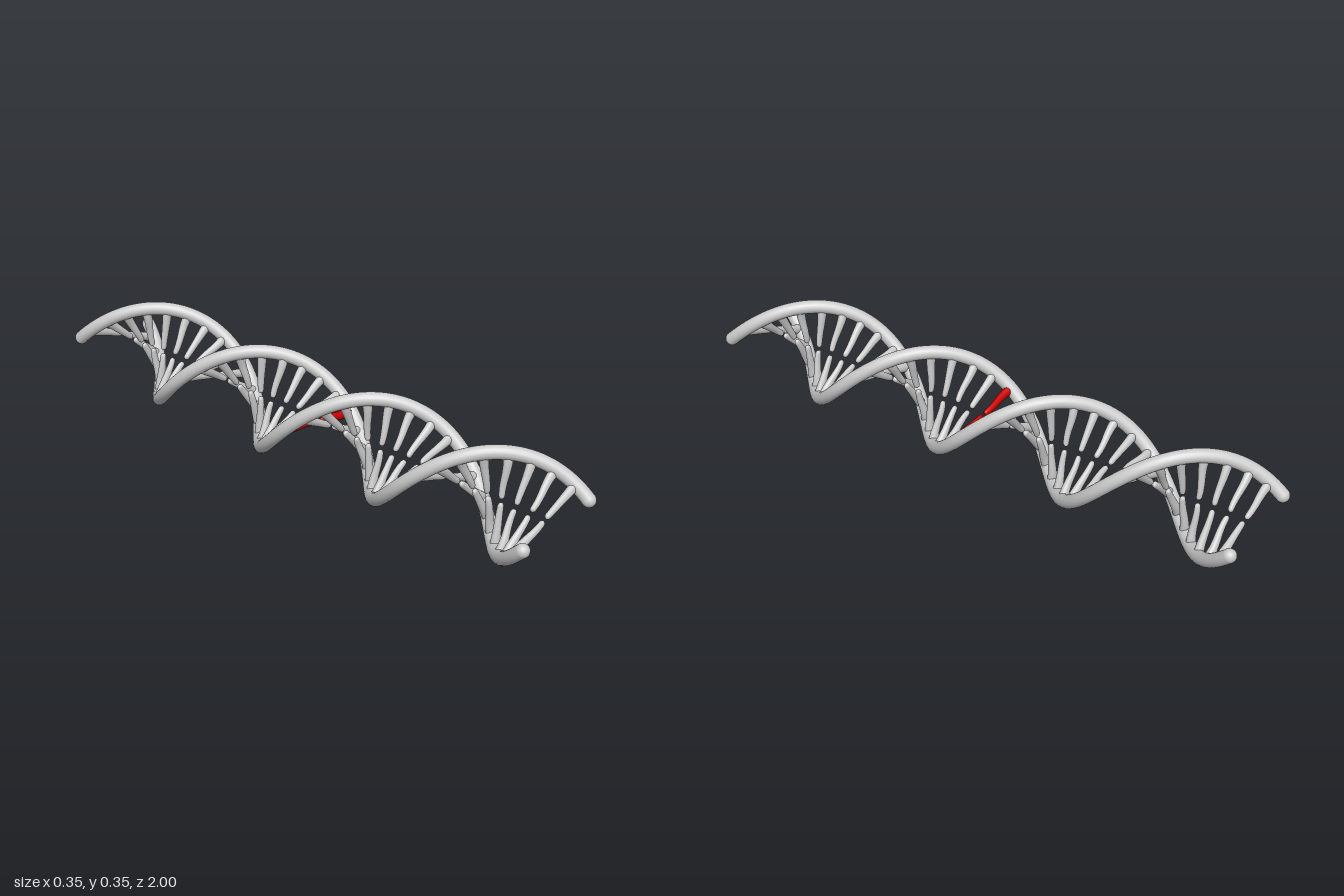
import * as THREE from 'three';

const CENTER_Y = 0.176, HELIX_R = 0.153, TUBE_R = 0.0225, END_Z = 0.9775;
const RUNGS = 36, FIRST_Z = 0.935, STEP = 0.0535, RED_RUNG = 17;

const grey = new THREE.MeshStandardMaterial({ color: 0xcccccc });
const red = new THREE.MeshStandardMaterial({ color: 0xcc0000 });

// Two full turns along z
const angleAt = (z) => (1 - z) * Math.PI * 2;

class Helix extends THREE.Curve {
  constructor(phase) {
    super();
    this.phase = phase;
  }
  getPoint(t, target = new THREE.Vector3()) {
    const z = END_Z * (1 - 2 * t), a = angleAt(z) + this.phase;
    return target.set(HELIX_R * Math.cos(a), HELIX_R * Math.sin(a), z);
  }
}

// Backbone tube with rounded ends
function makeStrand(phase, name) {
  const strand = new THREE.Group();
  strand.name = name;
  const curve = new Helix(phase);
  const tube = new THREE.Mesh(new THREE.TubeGeometry(curve, 240, TUBE_R, 20), grey);
  tube.name = name + 'Tube';
  strand.add(tube);
  for (const t of [0, 1]) {
    const cap = new THREE.Mesh(new THREE.SphereGeometry(TUBE_R, 20, 14), grey);
    cap.name = name + 'End';
    cap.position.copy(curve.getPoint(t));
    strand.add(cap);
  }
  return strand;
}

// Half rung: rounded at the axis, flaring toward the backbone, gently bent
function makeHalfRung(bend, material) {
  const profile = [
    [0, 0.006], [0.005, 0.007], [0.0085, 0.010], [0.0105, 0.016], [0.0115, 0.035],
    [0.0125, 0.06], [0.014, 0.09], [0.0155, 0.115], [0.017, 0.135], [0.017, 0.148], [0, 0.15],
  ].map(([r, y]) => new THREE.Vector2(r, y));
  const geo = new THREE.LatheGeometry(profile, 16);
  geo.scale(1, 1, 0.85);
  const pos = geo.attributes.position;
  for (let i = 0; i < pos.count; i++) {
    pos.setZ(i, pos.getZ(i) + bend * Math.sin((pos.getY(i) / 0.15) * Math.PI * 2));
  }
  geo.computeVertexNormals();
  return new THREE.Mesh(geo, material);
}

export function createModel() {
  const model = new THREE.Group();
  model.name = 'doubleHelix';
  const helix = new THREE.Group();
  helix.name = 'helix';
  helix.position.y = CENTER_Y;
  model.add(helix);

  helix.add(makeStrand(0, 'firstStrand'), makeStrand(Math.PI, 'secondStrand'));

  // Split rungs joining the strands
  for (let i = 0; i < RUNGS; i++) {
    const z = FIRST_Z - i * STEP;
    const rung = new THREE.Group();
    rung.name = 'rung' + (i + 1);
    rung.position.z = z;
    rung.rotation.z = angleAt(z) - Math.PI / 2;
    const material = i === RED_RUNG ? red : grey;
    for (const side of [0, 1]) {
      const half = makeHalfRung(0.003 * Math.sin(i * 1.7 + side), material);
      half.name = side ? 'secondHalfRung' : 'firstHalfRung';
      half.rotation.z = side * Math.PI;
      rung.add(half);
    }
    helix.add(rung);
  }
  return model;
}
